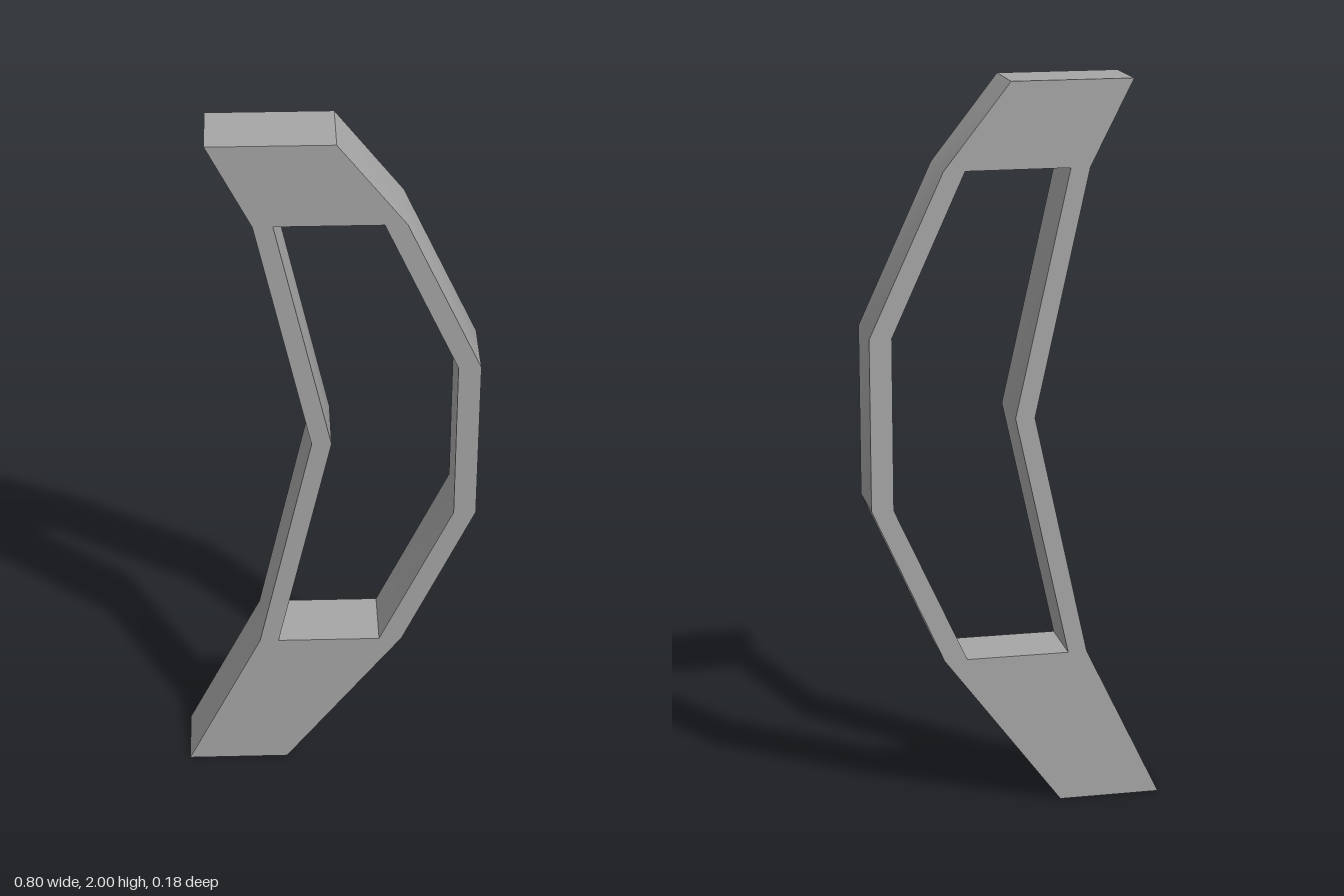
import * as THREE from 'three';
import { toCreasedNormals } from 'three/addons/utils/BufferGeometryUtils.js';

const points = (list) => list.map(([x, y]) => new THREE.Vector2(x, y));

export function createModel() {
  const group = new THREE.Group();
  group.name = 'curvedGrip';
  const grey = new THREE.MeshStandardMaterial({ color: 0xa6a6a6 });
  grey.name = 'grey';

  // Outer silhouette, counter-clockwise from the bottom left
  const outline = new THREE.Shape(points([
    [-0.40, 0], [-0.12, 0], [0.205, 0.43], [0.40, 0.865], [0.40, 1.335],
    [0.20, 1.77], [0.02, 2], [-0.308, 2], [-0.192, 1.77], [-0.045, 1.10], [-0.192, 0.43],
  ]));

  // Finger opening
  outline.holes.push(new THREE.Path(points([
    [-0.14, 0.43], [0.008, 1.10], [-0.14, 1.77], [0.142, 1.77],
    [0.34, 1.335], [0.34, 0.865], [0.142, 0.43],
  ])));

  const depth = 0.18;
  const solid = new THREE.ExtrudeGeometry(outline, { depth, bevelEnabled: false });
  solid.translate(0, 0, -depth / 2);

  // Gentle bends are smooth, corners stay sharp
  const frame = new THREE.Mesh(toCreasedNormals(solid, Math.PI / 6), grey);
  frame.name = 'gripFrame';
  group.add(frame);
  return group;
}
